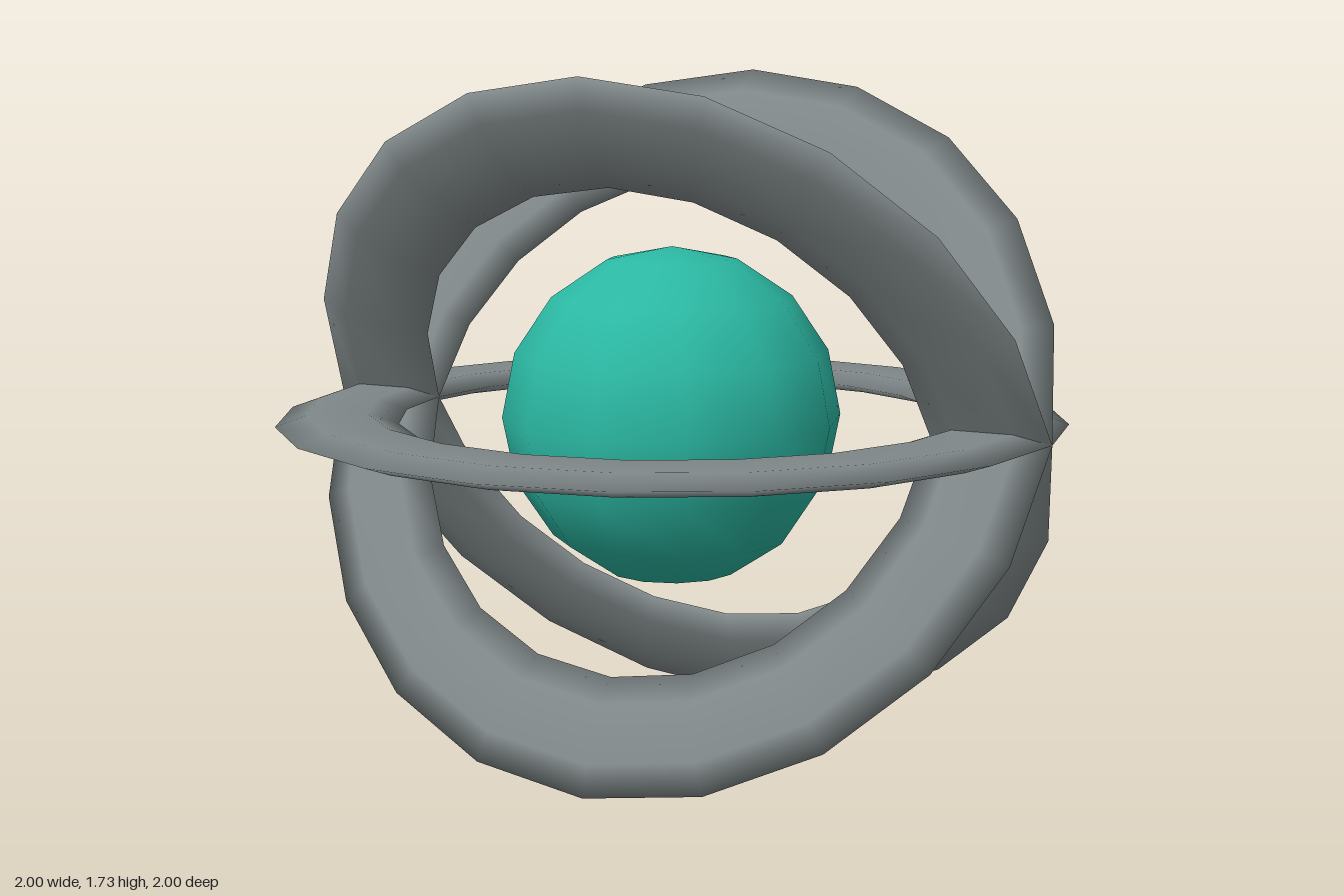
import * as THREE from 'three';

export function createModel() {
  const model = new THREE.Group();
  model.name = 'ringedSphere';
  const grey = new THREE.MeshStandardMaterial({ color: 0x7f8788 });
  grey.name = 'ring grey';
  const teal = new THREE.MeshStandardMaterial({ color: 0x2bb8a3 });
  teal.name = 'core teal';
  const centreY = Math.sin(Math.PI / 3);

  // Central sphere
  const core = new THREE.Mesh(new THREE.SphereGeometry(0.433, 12, 8), teal);
  core.name = 'core';
  core.position.y = centreY;
  model.add(core);

  // Three flattened rings that cross on the x axis, 60 degrees apart
  const ringGeometry = new THREE.TorusGeometry(0.847, 0.153, 6, 20);
  ringGeometry.scale(1, 1, 0.205);
  const tilts = { levelRing: Math.PI / 2, forwardRing: Math.PI / 6, backwardRing: -Math.PI / 6 };
  for (const [name, tilt] of Object.entries(tilts)) {
    const ring = new THREE.Mesh(ringGeometry, grey);
    ring.name = name;
    ring.position.y = centreY;
    ring.rotation.x = tilt;
    model.add(ring);
  }
  return model;
}
